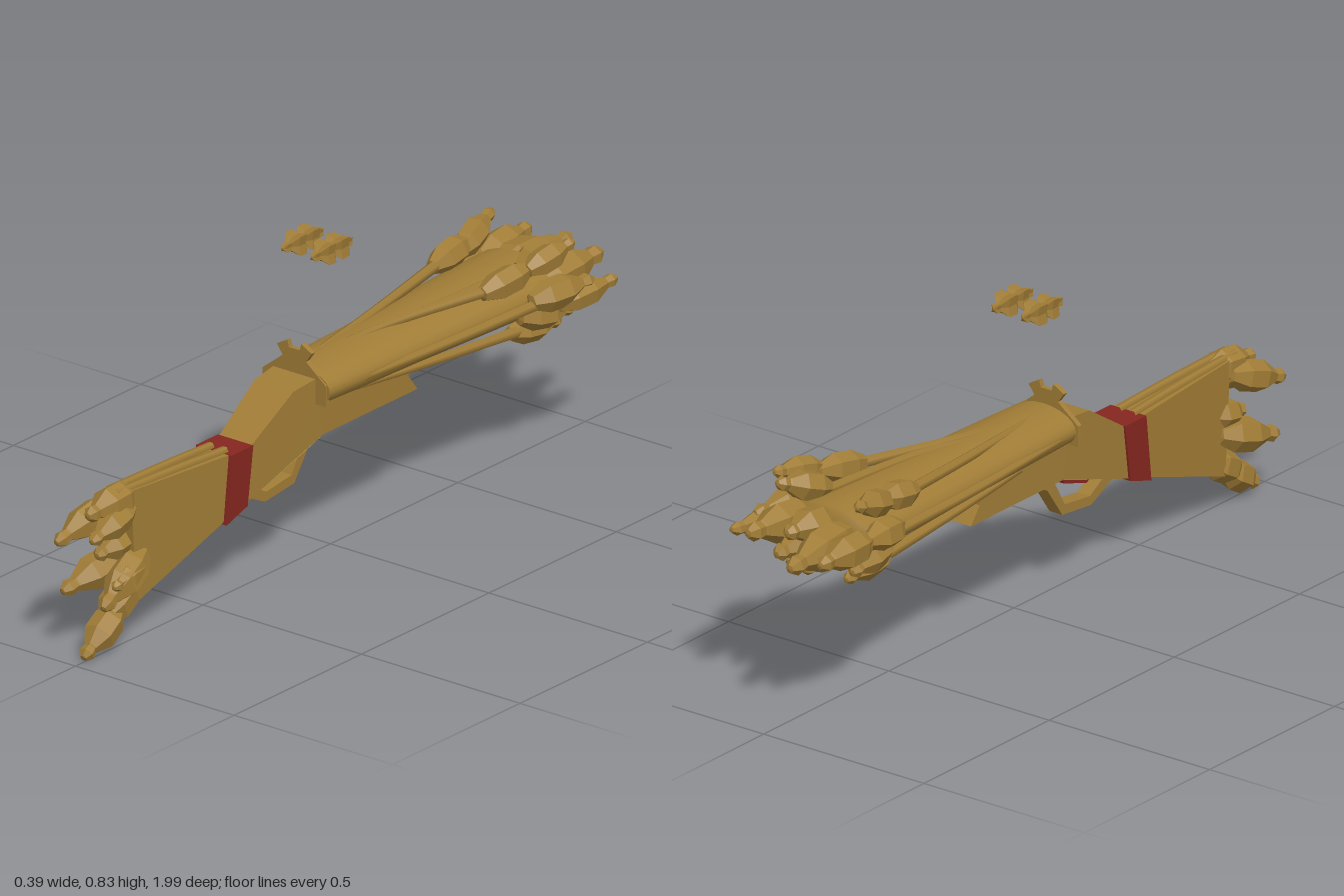
import * as THREE from 'three';

const gold = new THREE.MeshStandardMaterial({ color: 0xa07c36 });
gold.name = 'old gold';
const red = new THREE.MeshStandardMaterial({ color: 0x84261f });
red.name = 'dark red';
const AXIS = -0.0175; // the body sits slightly right of centre

// Side profile in (z, y), extruded across x; half(z) gives the half width
function slab(name, pts, half, material, parent) {
  const shape = new THREE.Shape(pts.map(([z, y]) => new THREE.Vector2(z, y)));
  const geo = new THREE.ExtrudeGeometry(shape, { depth: 2, bevelEnabled: false });
  geo.translate(0, 0, -1).rotateY(-Math.PI / 2);
  const p = geo.attributes.position;
  for (let i = 0; i < p.count; i++) p.setX(i, AXIS + p.getX(i) * half(p.getZ(i)));
  geo.computeVertexNormals();
  const mesh = new THREE.Mesh(geo, material);
  mesh.name = name;
  parent.add(mesh);
}

// Faceted bud from base to tip: swollen body with a small knob at the end
function bud(name, base, tip, r, parent, spin = 0) {
  const a = new THREE.Vector3(...base), dir = new THREE.Vector3(...tip).sub(a);
  const len = dir.length();
  const profile = [[0, 0], [0.5, 0.02], [0.98, 0.25], [1, 0.55], [0.48, 0.78], [0.42, 0.8], [0.5, 0.9], [0.22, 0.99], [0, 1]];
  let geo = new THREE.LatheGeometry(profile.map(([x, y]) => new THREE.Vector2(x * r, y * len)), 6, spin).toNonIndexed();
  geo.computeVertexNormals();
  const mesh = new THREE.Mesh(geo, gold);
  mesh.name = name;
  mesh.position.copy(a);
  mesh.quaternion.setFromUnitVectors(new THREE.Vector3(0, 1, 0), dir.normalize());
  parent.add(mesh);
}

// Tapering stem along a few points
function stem(name, pts, r0, r1, parent) {
  const curve = new THREE.CatmullRomCurve3(pts.map((p) => new THREE.Vector3(...p)));
  const segs = 8, sides = 6;
  const geo = new THREE.TubeGeometry(curve, segs, 1, sides, false);
  const p = geo.attributes.position, c = new THREE.Vector3(), v = new THREE.Vector3();
  for (let i = 0; i < p.count; i++) {
    const t = Math.floor(i / (sides + 1)) / segs;
    curve.getPointAt(t, c);
    v.fromBufferAttribute(p, i).sub(c).multiplyScalar(r0 + (r1 - r0) * t).add(c);
    p.setXYZ(i, v.x, v.y, v.z);
  }
  const mesh = new THREE.Mesh(geo, gold);
  mesh.name = name;
  parent.add(mesh);
}

export function createModel() {
  const model = new THREE.Group();
  model.name = 'budding blunderbuss';

  // Wooden body
  slab('stock', [[0.8, 0.41], [0.78, 0.107], [0.45, 0.22], [0.42, 0.39]],
    (z) => 0.047 - (z - 0.43) * 0.04, gold, model);
  slab('band', [[0.435, 0.392], [0.455, 0.212], [0.372, 0.238], [0.35, 0.392]], () => 0.056, red, model);
  slab('receiver', [[0.36, 0.385], [0.2, 0.487], [0.115, 0.497], [0.11, 0.44], [-0.24, 0.43], [-0.245, 0.385],
    [-0.28, 0.34], [0.09, 0.34], [0.16, 0.315], [0.3, 0.268], [0.375, 0.242]],
    (z) => (z > 0.12 ? 0.067 - (z - 0.12) * 0.07 : 0.067), gold, model);
  slab('underPlate', [[0.07, 0.345], [0.06, 0.318], [-0.14, 0.318], [-0.15, 0.345]], () => 0.03, gold, model);
  slab('triggerGuard', [[0.36, 0.252], [0.26, 0.203], [0.145, 0.215], [0.085, 0.3], [0.02, 0.33], [0.02, 0.345],
    [0.1, 0.335], [0.155, 0.24], [0.255, 0.228], [0.32, 0.266]], () => 0.02, gold, model);
  slab('trigger', [[0.29, 0.285], [0.25, 0.264], [0.16, 0.292], [0.13, 0.335]], () => 0.014, red, model);
  for (const s of [-1, 1]) {
    stem('stockRib', [[AXIS + s * 0.022, 0.392, 0.42], [AXIS + s * 0.018, 0.402, 0.6], [AXIS + s * 0.013, 0.41, 0.84]], 0.012, 0.013, model);
  }

  // Flattened flaring barrel
  const rings = [[0, 0.115], [0.101, 0.115], [0.101, 0.115], [0.106, 0], [0.115, -0.25], [0.128, -0.5], [0.137, -0.7], [0.137, -0.75], [0.137, -0.75], [0.1, -0.77], [0, -0.78]];
  const barrelGeo = new THREE.LatheGeometry(rings.map(([r, z]) => new THREE.Vector2(r, -z)), 24);
  barrelGeo.rotateX(-Math.PI / 2).scale(1, 0.52, 1);
  const barrel = new THREE.Mesh(barrelGeo, gold);
  barrel.name = 'barrel';
  barrel.position.set(-0.01, 0.467, 0);
  model.add(barrel);

  // Notched rear sight plate
  const half = [[0.1, 0.43], [0.1, 0.485], [0.055, 0.52], [0.037, 0.535], [0.055, 0.56], [0.022, 0.578], [0.017, 0.56]];
  const outline = [...half, ...half.slice().reverse().map(([x, y]) => [-x, y])];
  const sight = new THREE.Mesh(new THREE.ExtrudeGeometry(
    new THREE.Shape(outline.map(([x, y]) => new THREE.Vector2(x, y))), { depth: 0.014, bevelEnabled: false }), gold);
  sight.name = 'rearSight';
  sight.position.set(AXIS, 0, 0.106);
  model.add(sight);

  // Stems creeping along the barrel, above, beside and below
  const stems = [
    [[-0.02, 0.51, 0.0], [0.01, 0.525, -0.2], [0.1, 0.54, -0.54]],
    [[-0.03, 0.51, 0.05], [-0.07, 0.52, -0.25], [-0.115, 0.54, -0.58]],
    [[-0.03, 0.51, -0.05], [0.03, 0.525, -0.35], [0.06, 0.535, -0.72]],
    [[0.075, 0.465, 0.1], [0.11, 0.465, -0.3], [0.14, 0.47, -0.7]],
    [[-0.1, 0.465, 0.1], [-0.13, 0.465, -0.3], [-0.15, 0.47, -0.75]],
    [[0.04, 0.425, 0.0], [0.07, 0.41, -0.3], [0.09, 0.39, -0.64]],
    [[-0.07, 0.425, 0.0], [-0.09, 0.41, -0.3], [-0.1, 0.39, -0.64]],
  ];
  stems.forEach((pts) => stem('barrelStem', pts, 0.01, 0.016, model));

  // Buds clustered around the muzzle
  const muzzle = new THREE.Group();
  muzzle.name = 'muzzleBuds';
  model.add(muzzle);
  const muzzleBuds = [
    [[0.09, 0.535, -0.48], [0.115, 0.565, -0.68], 0.038],
    [[-0.115, 0.535, -0.54], [-0.12, 0.565, -0.72], 0.038],
    [[0.06, 0.535, -0.66], [0.1, 0.59, -0.82], 0.04],
    [[0.12, 0.56, -0.62], [0.14, 0.595, -0.78], 0.035],
    [[-0.11, 0.54, -0.64], [-0.15, 0.59, -0.82], 0.036],
    [[0.13, 0.48, -0.62], [0.17, 0.49, -0.82], 0.042],
    [[0.15, 0.45, -0.7], [0.18, 0.47, -0.9], 0.036],
    [[0.11, 0.44, -0.6], [0.14, 0.42, -0.78], 0.04],
    [[-0.13, 0.47, -0.62], [-0.16, 0.49, -0.82], 0.042],
    [[-0.14, 0.48, -0.76], [-0.16, 0.49, -0.98], 0.045],
    [[-0.12, 0.44, -0.66], [-0.15, 0.42, -0.84], 0.042],
    [[-0.07, 0.48, -0.74], [-0.08, 0.466, -1.0], 0.052],
    [[0.08, 0.48, -0.7], [0.09, 0.5, -0.95], 0.052],
    [[0.0, 0.5, -0.74], [0.0, 0.51, -0.91], 0.045],
    [[0.03, 0.45, -0.74], [0.04, 0.44, -0.9], 0.045],
    [[-0.03, 0.43, -0.72], [-0.03, 0.41, -0.88], 0.04],
    [[0.08, 0.39, -0.6], [0.09, 0.37, -0.79], 0.036],
    [[-0.09, 0.39, -0.62], [-0.1, 0.375, -0.8], 0.036],
  ];
  muzzleBuds.forEach(([a, b, r], i) => bud('muzzleBud', a, b, r, muzzle, i * 0.7));

  // Buds on the butt of the stock
  const butt = new THREE.Group();
  butt.name = 'buttBuds';
  model.add(butt);
  const buttBuds = [
    [[-0.015, 0.39, 0.76], [-0.02, 0.375, 0.93], 0.045],
    [[-0.045, 0.37, 0.8], [-0.07, 0.31, 0.99], 0.042],
    [[0.0, 0.36, 0.78], [0.01, 0.32, 0.95], 0.038],
    [[-0.03, 0.27, 0.75], [-0.03, 0.25, 0.88], 0.04],
    [[-0.04, 0.22, 0.76], [-0.075, 0.17, 0.96], 0.045],
    [[0.005, 0.23, 0.74], [0.03, 0.14, 0.93], 0.046],
    [[0.02, 0.2, 0.76], [0.04, 0.19, 0.9], 0.032],
    [[-0.02, 0.15, 0.75], [-0.01, 0.07, 0.9], 0.044],
    [[-0.01, 0.1, 0.82], [0.0, 0.015, 0.97], 0.042],
  ];
  buttBuds.forEach(([a, b, r], i) => bud('buttBud', a, b, r, butt, i * 0.9));

  // Two floating pairs of star-sided buds
  const profile = [[0, -0.045], [0.014, -0.04], [0.014, -0.025], [0.035, -0.01], [0.037, 0.02], [0.022, 0.034],
    [0.037, 0.045], [0.035, 0.07], [0.014, 0.085], [0.014, 0.102], [0, 0.11]];
  for (const x of [-0.063, 0.029]) {
    const lathe = new THREE.LatheGeometry(profile.map(([r, z]) => new THREE.Vector2(r, z)), 8, Math.PI / 4);
    const p = lathe.attributes.position;
    for (let i = 0; i < p.count; i++) {
      if (Math.floor(i / profile.length) % 2) { p.setX(i, p.getX(i) * 0.58); p.setZ(i, p.getZ(i) * 0.58); }
    }
    const geo = lathe.rotateX(Math.PI / 2).toNonIndexed();
    geo.computeVertexNormals();
    const mesh = new THREE.Mesh(geo, gold);
    mesh.name = 'floatingBud';
    mesh.position.set(x, 0.81, 0);
    model.add(mesh);
  }
  return model;
}
